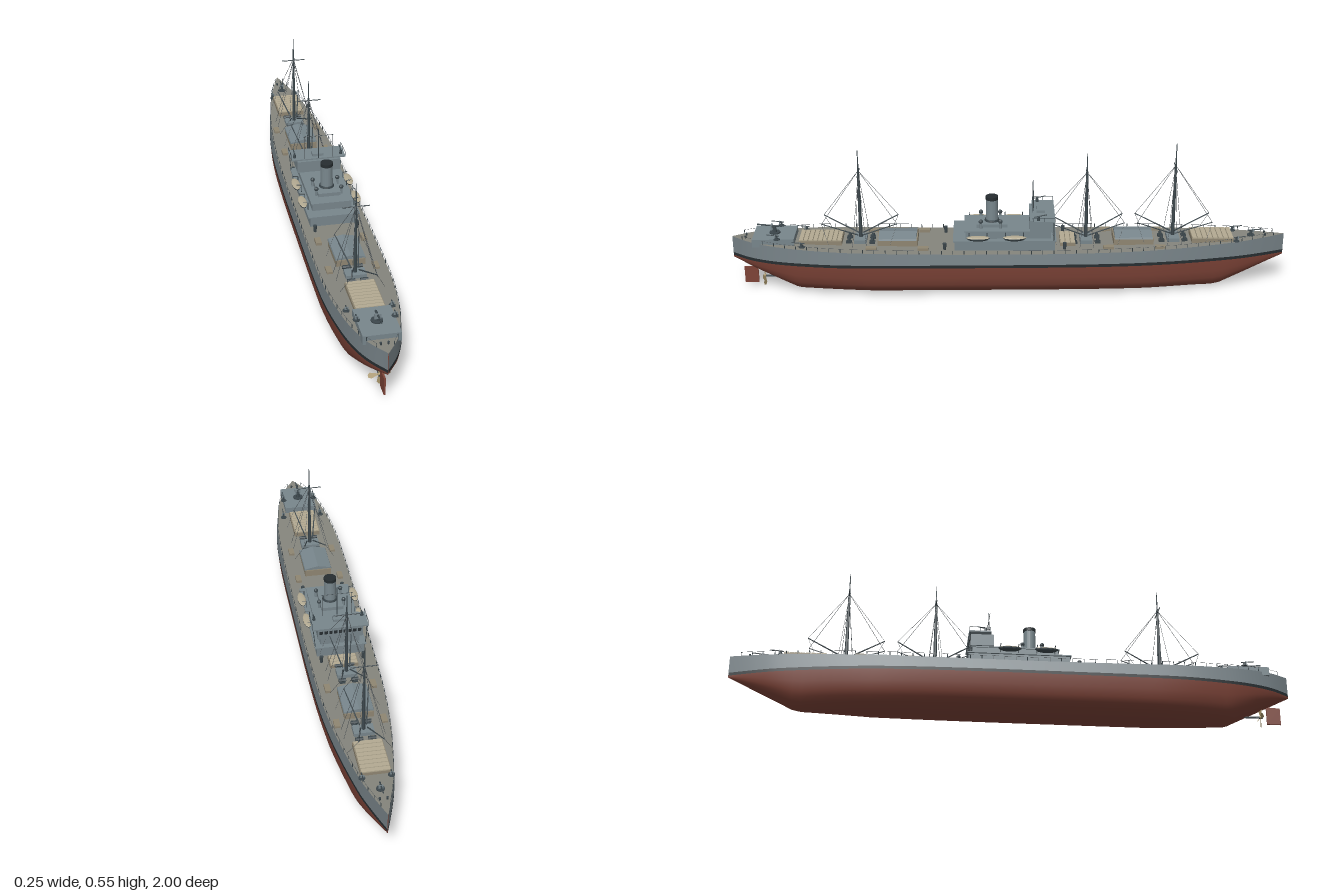
import * as THREE from 'three';

const mat = (c, flat = true) => new THREE.MeshStandardMaterial({ color: c, flatShading: flat, side: THREE.DoubleSide });
const M = {
  red: mat(0x7d4337, false), black: mat(0x262d30, false), hull: mat(0x747f84, false), deck: mat(0x85857d),
  grey: mat(0x78868c), dark: mat(0x3c474c), wire: mat(0x4a5054), buff: mat(0xb3aa92), wood: mat(0x8f8672), brass: mat(0xa8956a),
};
const V = (x, y, z) => new THREE.Vector3(x, y, z);

function add(parent, name, geo, m, x = 0, y = 0, z = 0) {
  const mesh = new THREE.Mesh(geo, m);
  mesh.name = name;
  mesh.position.set(x, y, z);
  parent.add(mesh);
  return mesh;
}
function group(parent, name) {
  const g = new THREE.Group();
  g.name = name;
  parent.add(g);
  return g;
}
// box given by half width, y range and z range
const block = (p, name, m, hw, y0, y1, z0, z1, x = 0) =>
  add(p, name, new THREE.BoxGeometry(2 * hw, y1 - y0, z1 - z0), m, x, (y0 + y1) / 2, (z0 + z1) / 2);
const drum = (p, name, m, r0, r1, x, y0, y1, z, n = 12) =>
  add(p, name, new THREE.CylinderGeometry(r1, r0, y1 - y0, n), m, x, (y0 + y1) / 2, z);
function rod(p, name, m, a, b, r, r2 = r) {
  const d = b.clone().sub(a);
  const mesh = add(p, name, new THREE.CylinderGeometry(r2, r, d.length(), 6), m);
  mesh.position.copy(a).addScaledVector(d, 0.5);
  mesh.quaternion.setFromUnitVectors(V(0, 1, 0), d.normalize());
  return mesh;
}
// skin through a list of equal-length cross-sections
function loft(sections) {
  const n = sections[0].length, pos = [], idx = [];
  sections.forEach((s, i) => s.forEach((p, j) => {
    pos.push(p.x, p.y, p.z);
    if (i && j) {
      const a = (i - 1) * n + j - 1, b = i * n + j - 1;
      idx.push(a, a + 1, b, b, a + 1, b + 1);
    }
  }));
  const g = new THREE.BufferGeometry();
  g.setAttribute('position', new THREE.Float32BufferAttribute(pos, 3));
  g.setIndex(idx);
  g.computeVertexNormals();
  return g;
}

// hull plan: (z, half width)
const plan = new THREE.SplineCurve([[-1, 0.001], [-0.9, 0.036], [-0.8, 0.063], [-0.6, 0.098], [-0.4, 0.117], [-0.15, 0.124],
  [0.1, 0.125], [0.4, 0.125], [0.6, 0.12], [0.75, 0.102], [0.85, 0.08], [0.93, 0.048], [1, 0.001]]
  .map(p => new THREE.Vector2(...p))).getPoints(72);
const deckY = z => 0.172 + 0.024 * Math.pow(Math.abs(z), 2.2);
const keelY = z => Math.max(0, (Math.abs(z) - 0.76) / 0.24) * 0.115;
function halfWidth(z) {
  let i = 1;
  while (i < plan.length - 1 && plan[i].x < z) i++;
  const a = plan[i - 1], b = plan[i];
  return a.y + (b.y - a.y) * (z - a.x) / (b.x - a.x);
}

function buildHull(root) {
  const g = group(root, 'hull');
  const shape = [[0, 0], [0.4, 0.02], [0.68, 0.13], [0.82, 0.26], [0.9, 0.41], [0.97, 0.66], [1, 1]];
  const half = shape.slice(1).map(([f, t]) => [-f, t]).reverse().concat(shape);
  add(g, 'lowerHull', loft(plan.map(({ x: z, y: w }) => {
    const e = 1 + 1.2 * Math.max(0, Math.abs(z) - 0.5) / 0.5, k = keelY(z);
    return half.map(([f, t]) => V(Math.sign(f) * Math.pow(Math.abs(f), e) * w, k + (0.122 - k) * t, z));
  })), M.red);
  for (const s of [-1, 1]) {
    add(g, 'waterlineBand', loft(plan.map(p => [V(s * p.y, 0.122, p.x), V(s * p.y, 0.133, p.x)])), M.black);
    add(g, 'hullSide', loft(plan.map(p => [V(s * p.y, 0.133, p.x), V(s * p.y * 0.95, deckY(p.x), p.x)])), M.hull);
  }
  add(g, 'mainDeck', loft(plan.map(p => [V(-p.y * 0.95, deckY(p.x), p.x), V(p.y * 0.95, deckY(p.x), p.x)])), M.deck);

  // rails along the deck edge
  const rails = group(g, 'deckRails');
  for (const s of [-1, 1]) {
    let last = null;
    for (let z = -0.96; z < 0.97; z += 0.04) {
      const a = V(s * halfWidth(z) * 0.94, deckY(z), z), b = a.clone().setY(a.y + 0.014);
      rod(rails, 'railPost', M.dark, a, b, 0.0012);
      if (last) rod(rails, 'railWire', M.wire, last, b, 0.0005);
      last = b;
    }
  }
  // rudder, shaft and propeller
  block(g, 'rudder', M.red, 0.003, 0.012, 0.075, 0.915, 0.965);
  rod(g, 'rudderStock', M.red, V(0, 0.07, 0.925), V(0, 0.11, 0.925), 0.003);
  rod(g, 'propellerShaft', M.dark, V(0, 0.037, 0.8), V(0, 0.037, 0.9), 0.004);
  const prop = group(g, 'propeller');
  prop.position.set(0, 0.038, 0.893);
  const blade = new THREE.Shape([[0, 0], [0.006, 0.012], [0.011, 0.03], [0.005, 0.037], [-0.005, 0.036], [-0.008, 0.026]]
    .map(p => new THREE.Vector2(...p)));
  for (let i = 0; i < 4; i++) {
    const arm = group(prop, 'propellerArm');
    arm.rotation.z = i * Math.PI / 2 + 0.1;
    add(arm, 'propellerBlade', new THREE.ShapeGeometry(blade), M.brass).rotation.y = 0.5;
  }
  add(prop, 'propellerHub', new THREE.SphereGeometry(0.006, 10, 8), M.brass);
}

function gun(parent, x, y, z, dir, s = 1) {
  const g = group(parent, 'deckGun');
  g.position.set(x, y, z);
  g.scale.setScalar(s);
  if (dir < 0) g.rotation.y = Math.PI;
  drum(g, 'gunPlatform', M.dark, 0.014, 0.014, 0, 0, 0.003, 0, 14);
  drum(g, 'gunPedestal', M.dark, 0.006, 0.004, 0, 0, 0.017, 0, 8);
  block(g, 'gunShield', M.grey, 0.008, 0.01, 0.023, 0.006, 0.009);
  rod(g, 'gunBarrel', M.dark, V(0, 0.018, -0.012), V(0, 0.024, 0.045), 0.0028, 0.0018);
}

function buildMidships(root) {
  const g = group(root, 'superstructure');
  block(g, 'mainHouse', M.grey, 0.085, 0.165, 0.208, -0.165, 0.195);
  block(g, 'boatDeck', M.grey, 0.092, 0.208, 0.212, -0.17, 0.2);
  block(g, 'upperHouse', M.grey, 0.07, 0.212, 0.238, -0.15, 0.155);
  block(g, 'upperRoof', M.grey, 0.074, 0.238, 0.242, -0.155, 0.16);
  block(g, 'engineCasing', M.grey, 0.04, 0.242, 0.255, 0.005, 0.115);
  block(g, 'bridge', M.grey, 0.08, 0.242, 0.285, -0.16, -0.075);
  block(g, 'bridgeWings', M.grey, 0.1, 0.285, 0.29, -0.165, -0.085);
  for (let i = -4; i <= 4; i++) block(g, 'bridgeWindow', M.black, 0.006, 0.264, 0.276, -0.1615, -0.159, i * 0.017);
  block(g, 'chartTable', M.grey, 0.02, 0.29, 0.3, -0.13, -0.1);
  for (const s of [-1, 1]) {
    drum(g, 'wingGunPedestal', M.dark, 0.006, 0.004, s * 0.086, 0.29, 0.305, -0.105, 8);
    rod(g, 'wingGunBarrel', M.dark, V(s * 0.086, 0.302, -0.09), V(s * 0.086, 0.312, -0.135), 0.002);
    for (const z of [-0.163, -0.125, -0.088]) rod(g, 'wingRailPost', M.dark, V(s * 0.099, 0.288, z), V(s * 0.099, 0.304, z), 0.001);
    rod(g, 'wingRail', M.dark, V(s * 0.099, 0.304, -0.163), V(s * 0.099, 0.304, -0.088), 0.001);
    rod(g, 'wingStrut', M.dark, V(s * 0.09, 0.212, -0.16), V(s * 0.097, 0.286, -0.16), 0.0015);
    rod(g, 'aerialDrop', M.wire, V(s * 0.053, 0.29, -0.088), V(s * 0.053, 0.38, -0.088), 0.0007);
    // ventilators
    for (const z of [0.03, 0.1]) {
      drum(g, 'ventilatorPipe', M.grey, 0.005, 0.005, s * 0.045, 0.24, 0.265, z, 8);
      add(g, 'ventilatorCowl', new THREE.SphereGeometry(0.008, 8, 6), M.dark, s * 0.045, 0.268, z);
    }
    // lifeboats on davits
    for (const z of [-0.02, 0.11]) {
      const boat = group(g, 'lifeboat');
      boat.position.set(s * 0.097, 0.228, z);
      add(boat, 'boatHull', new THREE.SphereGeometry(1, 12, 6, 0, Math.PI * 2, Math.PI / 2, Math.PI / 2), M.dark).scale.set(0.015, 0.013, 0.042);
      add(boat, 'boatCover', new THREE.SphereGeometry(1, 12, 4, 0, Math.PI * 2, 0, Math.PI / 2), M.buff).scale.set(0.015, 0.005, 0.042);
      for (const d of [-0.032, 0.032]) {
        rod(boat, 'davit', M.dark, V(-s * 0.014, -0.018, d), V(-s * 0.014, 0.012, d), 0.0015);
        rod(boat, 'davitArm', M.dark, V(-s * 0.014, 0.012, d), V(s * 0.004, 0.014, d), 0.0015);
      }
    }
  }
  // signal mast
  rod(g, 'signalMast', M.dark, V(0, 0.29, -0.088), V(0, 0.41, -0.088), 0.002, 0.001);
  rod(g, 'signalYard', M.dark, V(-0.055, 0.38, -0.088), V(0.055, 0.38, -0.088), 0.001);
  // funnel
  drum(g, 'funnel', M.grey, 0.023, 0.021, 0, 0.24, 0.337, 0.06, 24);
  drum(g, 'funnelTop', M.black, 0.0225, 0.0225, 0, 0.337, 0.349, 0.06, 24);
  drum(g, 'funnelCollar', M.dark, 0.027, 0.025, 0, 0.255, 0.262, 0.06, 24);
}

function buildMast(root, z, top, yard) {
  const g = group(root, 'mast'), base = deckY(z);
  rod(g, 'lowerMast', M.dark, V(0, base, z), V(0, yard + 0.01, z), 0.007, 0.004);
  rod(g, 'topMast', M.dark, V(0, yard, z), V(0, top, z), 0.003, 0.0012);
  rod(g, 'crosstree', M.dark, V(-0.045, yard, z), V(0.045, yard, z), 0.0018);
  block(g, 'mastHouse', M.grey, 0.035, base - 0.004, base + 0.014, z - 0.022, z + 0.022);
  for (const s of [-1, 1]) for (const d of [-1, 1]) {
    const foot = V(s * 0.012, base + 0.025, z + d * 0.008), tip = V(s * 0.042, 0.26, z + d * 0.135);
    rod(g, 'derrickBoom', M.dark, foot, tip, 0.0027, 0.0018);
    rod(g, 'toppingLift', M.wire, tip, V(0, yard + 0.008, z), 0.0007);
    rod(g, 'boomGuy', M.wire, tip, V(s * 0.075, base + 0.015, z + d * 0.11), 0.0006);
    rod(g, 'shroud', M.wire, V(s * 0.07, base, z + d * 0.025), V(0, yard, z), 0.0007);
    // cargo winch
    const x = s * 0.022, wz = z + d * 0.042;
    rod(g, 'winchDrum', M.dark, V(x - 0.013, base + 0.009, wz), V(x + 0.013, base + 0.009, wz), 0.006);
    block(g, 'winchBed', M.dark, 0.01, base - 0.003, base + 0.006, wz - 0.01, wz + 0.01, x);
  }
}

function hatch(root, z0, z1, hw) {
  const g = group(root, 'cargoHatch'), y = Math.min(deckY(z0), deckY(z1)), h = Math.max(deckY(z0), deckY(z1)) + 0.011;
  block(g, 'hatchCoaming', M.wood, hw, y - 0.004, h, z0, z1);
  const n = Math.round((z1 - z0) / 0.018), step = (z1 - z0) / n;
  for (let i = 0; i < n; i++)
    block(g, 'hatchBoard', M.buff, hw - 0.003, h, h + 0.004, z0 + i * step + 0.0015, z0 + (i + 1) * step - 0.0015);
}

// hatch with cargo under a ridged tarpaulin
function coveredHatch(root, z) {
  const g = group(root, 'coveredHatch'), y = deckY(z);
  block(g, 'cargoBase', M.wood, 0.05, y - 0.004, y + 0.024, z - 0.072, z + 0.072);
  const roof = new THREE.Shape([[-0.052, 0], [0.052, 0], [0.05, 0.006], [0, 0.016], [-0.05, 0.006]].map(p => new THREE.Vector2(...p)));
  add(g, 'tarpaulin', new THREE.ExtrudeGeometry(roof, { depth: 0.136, bevelEnabled: false }), M.grey, 0, y + 0.022, z - 0.068);
  for (const s of [-1, 1]) for (const d of [-1, 1])
    block(g, 'lifeRaft', M.wood, 0.01, y, y + 0.01, z + d * 0.093 - 0.019, z + d * 0.093 + 0.019, s * 0.08);
}

export function createModel() {
  const root = new THREE.Group();
  root.name = 'cargoShip';
  buildHull(root);
  buildMidships(root);
  buildMast(root, 0.535, 0.525, 0.44);
  buildMast(root, -0.28, 0.51, 0.43);
  buildMast(root, -0.595, 0.545, 0.455);
  hatch(root, -0.81, -0.66, 0.05);
  hatch(root, -0.24, -0.185, 0.05);
  hatch(root, 0.6, 0.755, 0.05);
  coveredHatch(root, -0.45);
  coveredHatch(root, 0.4);

  // stern house and guns
  block(root, 'sternHouse', M.grey, 0.062, 0.178, 0.209, 0.77, 0.92);
  gun(root, 0, 0.209, 0.845, 1, 1.4);
  gun(root, 0, deckY(-0.88), -0.88, -1);
  for (const s of [-1, 1]) {
    gun(root, s * 0.062, 0.209, 0.83, 1, 0.8);
    gun(root, s * 0.075, deckY(0.74), 0.74, 1, 0.8);
    gun(root, s * 0.048, deckY(-0.82), -0.82, -1, 0.8);
    for (const z of [-0.2, 0.23]) drum(root, 'deckVent', M.dark, 0.005, 0.007, s * 0.075, deckY(z), 0.198, z, 8);
    for (const z of [-0.93, 0.95]) drum(root, 'bollard', M.dark, 0.003, 0.004, s * 0.012, deckY(z), deckY(z) + 0.009, z, 8);
  }
  return root;
}
